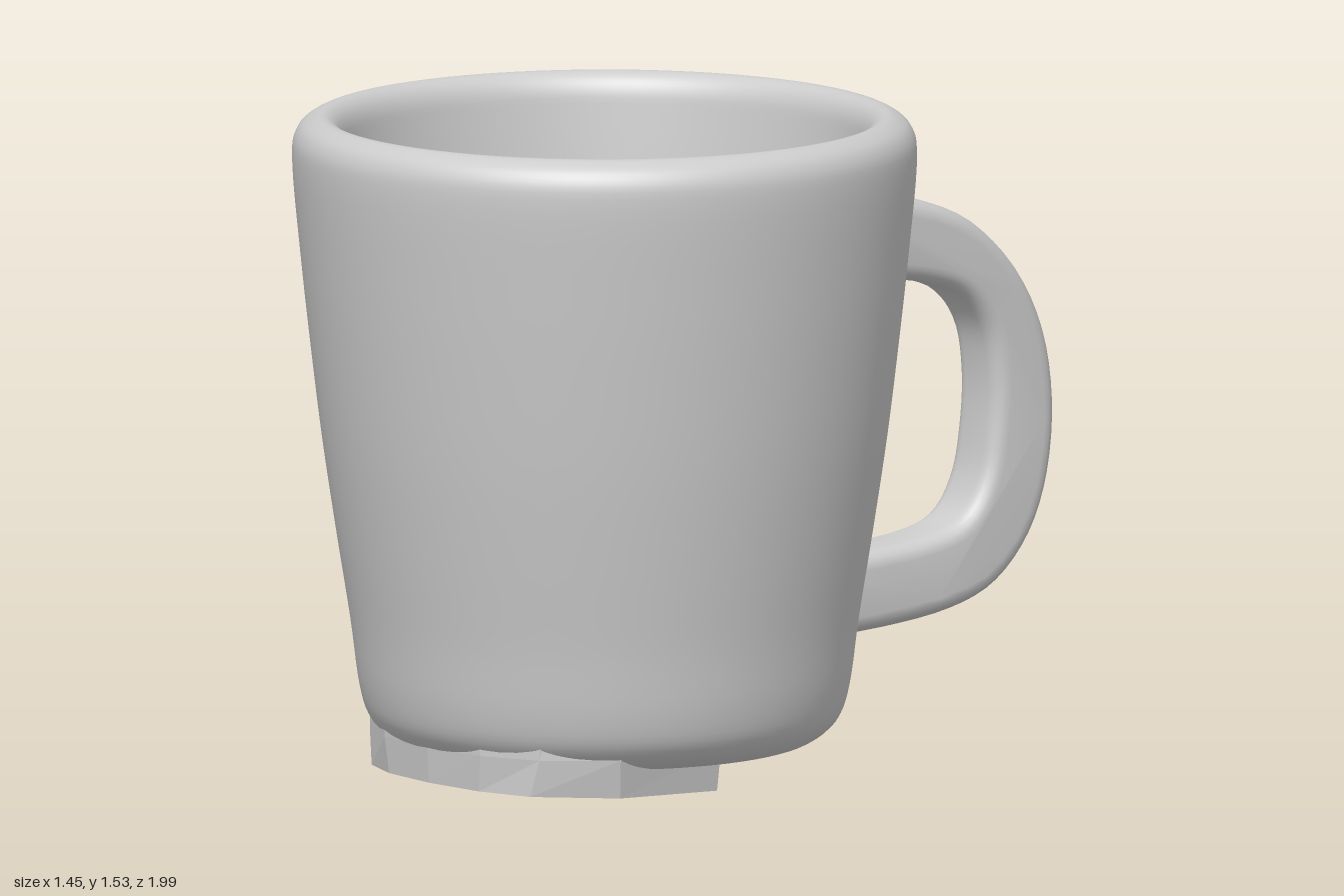
import * as THREE from 'three';
import { mergeVertices, toCreasedNormals } from 'three/addons/utils/BufferGeometryUtils.js';

const CZ = 0.27; // z of the mug's axis
const material = (opts = {}) => new THREE.MeshStandardMaterial({ color: 0xcccccc, ...opts });
const vec2 = (pts) => pts.map(([x, y]) => new THREE.Vector2(x, y));

// Thick tapering wall with a rounded rim and foot, closed by a recessed floor
function createCup() {
  const wall = new THREE.SplineCurve(vec2([
    [0.345, 0.14], [0.37, 0.09], [0.42, 0.07], [0.48, 0.073], [0.54, 0.12], [0.568, 0.2],
    [0.59, 0.36], [0.622, 0.56], [0.655, 0.78], [0.682, 1.0], [0.704, 1.2], [0.724, 1.42],
    [0.714, 1.495], [0.675, 1.528], [0.64, 1.528], [0.612, 1.495], [0.6, 1.42],
    [0.575, 1.2], [0.55, 1.0], [0.5, 0.6], [0.465, 0.35], [0.42, 0.22], [0.345, 0.17],
  ]));
  const group = new THREE.Group();
  group.name = 'cup';
  const body = new THREE.Mesh(new THREE.LatheGeometry(wall.getPoints(110), 72), material());
  body.name = 'cupWall';
  group.add(body);
  const floor = new THREE.Mesh(new THREE.CylinderGeometry(0.35, 0.35, 0.03, 72), material());
  floor.name = 'cupFloor';
  floor.position.y = 0.155;
  group.add(floor);
  group.position.z = CZ;
  return group;
}

// Rounded D-shaped handle, outlined from the side and slightly narrower at the back
function createHandle() {
  const outer = new THREE.SplineCurve(vec2([
    [0.38, 1.28], [0.5, 1.275], [0.62, 1.25], [0.76, 1.19], [0.89, 1.07], [0.97, 0.92],
    [1.0, 0.75], [0.985, 0.58], [0.93, 0.44], [0.83, 0.335], [0.7, 0.285], [0.5, 0.26], [0.25, 0.25],
  ]));
  const inner = new THREE.SplineCurve(vec2([
    [0.25, 0.435], [0.45, 0.445], [0.62, 0.46], [0.73, 0.495], [0.79, 0.58], [0.815, 0.7],
    [0.82, 0.82], [0.8, 0.93], [0.74, 1.01], [0.65, 1.05], [0.52, 1.075], [0.38, 1.085],
  ]));
  const shape = new THREE.Shape([...outer.getPoints(48), ...inner.getPoints(48)]);
  const bevel = 0.04;
  let geo = new THREE.ExtrudeGeometry(shape, {
    depth: 0.08, bevelEnabled: true, bevelThickness: bevel, bevelSize: bevel,
    bevelOffset: -bevel, bevelSegments: 5, steps: 1,
  });
  geo.translate(0, 0, -0.04);
  geo.rotateY(Math.PI / 2);
  const pos = geo.attributes.position;
  for (let i = 0; i < pos.count; i++) {
    pos.setX(i, pos.getX(i) * (1.1 + 0.17 * (pos.getZ(i) + 0.4)));
  }
  geo.deleteAttribute('normal');
  geo.deleteAttribute('uv');
  geo = toCreasedNormals(mergeVertices(geo, 1e-4), 0.7);
  const mesh = new THREE.Mesh(geo, material());
  mesh.name = 'handle';
  return mesh;
}

// Faceted half-round holder inside the cup: rings of [x, z] from the side to the front middle
function createInsert() {
  const pit = [[0.24, CZ], [0.24, 0.4], [0.23, 0.51], [0.12, 0.51], [0, 0.51]];
  const centre = Array(5).fill([0, CZ]);
  const levels = [
    [0, centre],
    [0, [[0.425, CZ], [0.42, 0.55], [0.3, 0.72], [0.17, 0.77], [0, 0.785]]],
    [0.1, [[0.44, CZ], [0.435, 0.56], [0.32, 0.71], [0.18, 0.775], [0, 0.79]]],
    [1.18, [[0.47, CZ], [0.46, 0.46], [0.41, 0.63], [0.22, 0.75], [0, 0.8]]],
    [1.24, [[0.38, CZ], [0.37, 0.5], [0.365, 0.61], [0.2, 0.68], [0, 0.71]]],
    [1.23, [[0.355, CZ], [0.35, 0.45], [0.345, 0.595], [0.2, 0.65], [0, 0.68]]],
    [0.17, pit],
    [0.02, pit],
    [0.02, centre],
  ];
  const positions = [], index = [], n = 9;
  levels.forEach(([y, half]) => {
    const ring = [...half, ...half.slice(0, 4).reverse().map(([x, z]) => [-x, z])];
    // the underside rises slightly towards the front
    ring.forEach(([x, z]) => positions.push(x, y === 0 ? 0.03 * (z - CZ) : y, z));
  });
  for (let j = 0; j < levels.length - 1; j++) {
    for (let i = 0; i < n - 1; i++) {
      const a = j * n + i, b = a + 1, c = a + n, d = c + 1;
      index.push(a, c, b, b, c, d);
    }
  }
  const geo = new THREE.BufferGeometry();
  geo.setAttribute('position', new THREE.Float32BufferAttribute(positions, 3));
  geo.setIndex(index);
  geo.computeVertexNormals();
  const group = new THREE.Group();
  group.name = 'insert';
  const shell = new THREE.Mesh(geo, material({ flatShading: true, side: THREE.DoubleSide }));
  shell.name = 'insertShell';
  group.add(shell);

  // Flat cut face closing the back of the holder
  const side = levels.slice(1, -1).map(([y, half]) => [half[0][0], y]);
  const section = [...side, ...side.map(([x, y]) => [-x, y]).reverse()];
  const cut = new THREE.ShapeGeometry(new THREE.Shape(vec2(section)));
  cut.rotateY(Math.PI); // symmetric section, turned to face the back
  const face = new THREE.Mesh(cut, material());
  face.name = 'insertCutFace';
  face.position.z = CZ;
  group.add(face);
  return group;
}

export function createModel() {
  const model = new THREE.Group();
  model.name = 'mug';
  model.add(createCup(), createHandle(), createInsert());
  return model;
}
